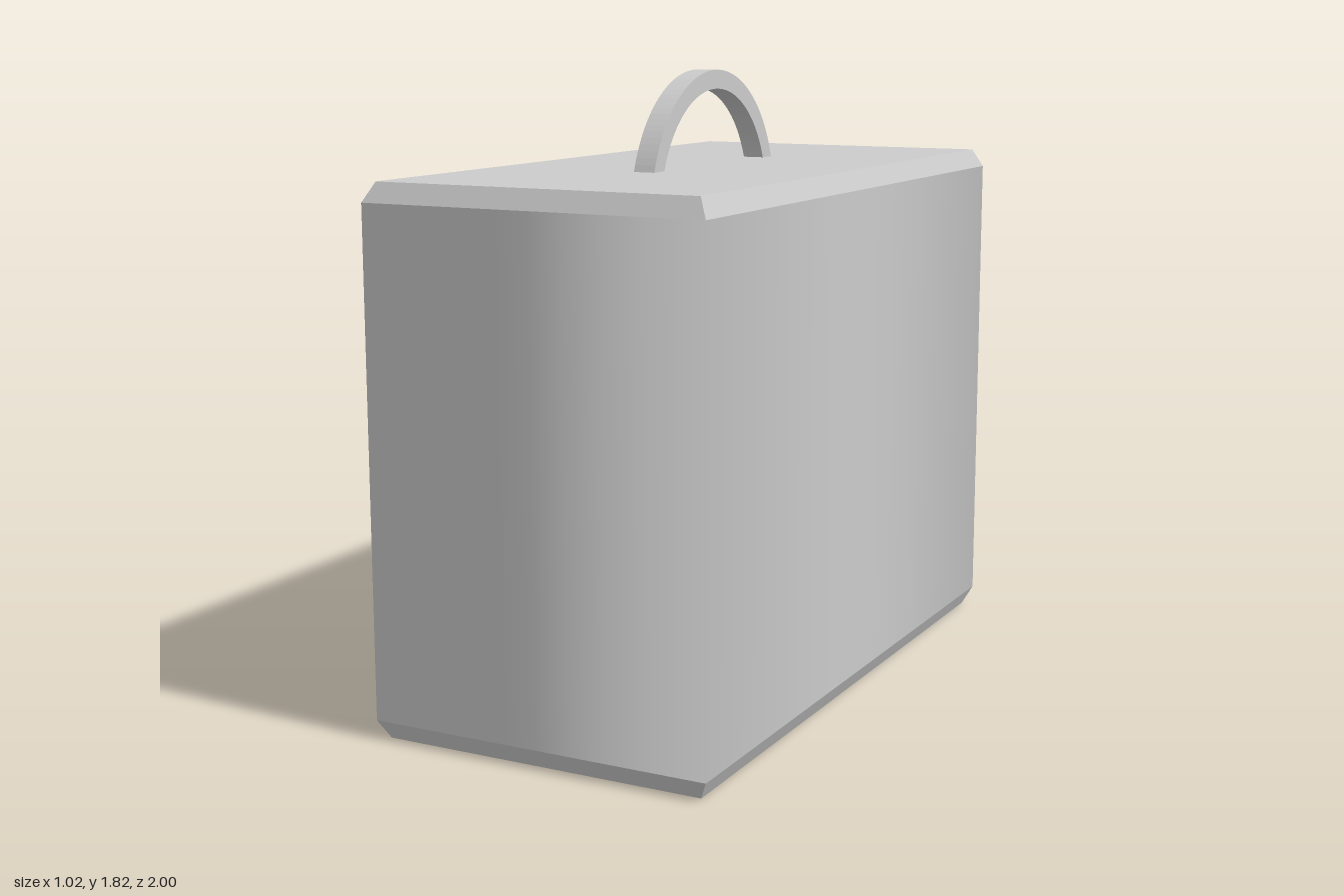
import * as THREE from 'three';

const HALF_X = 0.51, HALF_Z = 1, BEVEL = 0.055, HEIGHT = 1.54, INSET = 0.028;

function addMesh(group, name, geometry, flat = false) {
  const material = new THREE.MeshStandardMaterial({ color: 0xcccccc, flatShading: flat });
  const mesh = new THREE.Mesh(geometry, material);
  mesh.name = name;
  group.add(mesh);
  return mesh;
}

// Round tube pushed out to a rectangle; it keeps its radial normals for soft shading
function squaredTube(height) {
  const geo = new THREE.CylinderGeometry(1, 1, height, 32, 1, true);
  const pos = geo.attributes.position;
  for (let i = 0; i < pos.count; i++) {
    const x = pos.getX(i), z = pos.getZ(i);
    const k = 1 / Math.max(Math.abs(x), Math.abs(z));
    pos.setX(i, x * k * HALF_X);
    pos.setZ(i, z * k * HALF_Z);
  }
  return geo;
}

// Box whose outer face is inset on all four sides
function bevelledPlate(outerSign) {
  const geo = new THREE.BoxGeometry(2 * HALF_X, BEVEL, 2 * HALF_Z);
  const pos = geo.attributes.position;
  for (let i = 0; i < pos.count; i++) {
    if (pos.getY(i) * outerSign < 0) continue;
    pos.setX(i, Math.sign(pos.getX(i)) * (HALF_X - INSET));
    pos.setZ(i, Math.sign(pos.getZ(i)) * (HALF_Z - INSET));
  }
  geo.computeVertexNormals();
  return geo;
}

export function createModel() {
  const model = new THREE.Group();
  model.name = 'case';

  // Main body
  addMesh(model, 'body', squaredTube(HEIGHT - 2 * BEVEL)).position.y = HEIGHT / 2;

  // Bevelled lid and base
  addMesh(model, 'lid', bevelledPlate(1), true).position.y = HEIGHT - BEVEL / 2;
  addMesh(model, 'base', bevelledPlate(-1), true).position.y = BEVEL / 2;

  // Arched carrying handle, cut level with the lid
  const outer = 0.4, inner = 0.345, drop = 0.125, width = 0.065;
  const a = Math.asin(drop / outer), b = Math.asin(drop / inner);
  const arch = new THREE.Shape();
  arch.absarc(0, 0, outer, a, Math.PI - a, false);
  arch.absarc(0, 0, inner, Math.PI - b, b, true);
  arch.closePath();
  const handleGeo = new THREE.ExtrudeGeometry(arch, { depth: width, bevelEnabled: false, curveSegments: 24 });
  handleGeo.translate(0, 0, -width / 2).rotateY(Math.PI / 2);
  addMesh(model, 'handle', handleGeo).position.y = HEIGHT - drop;

  return model;
}
